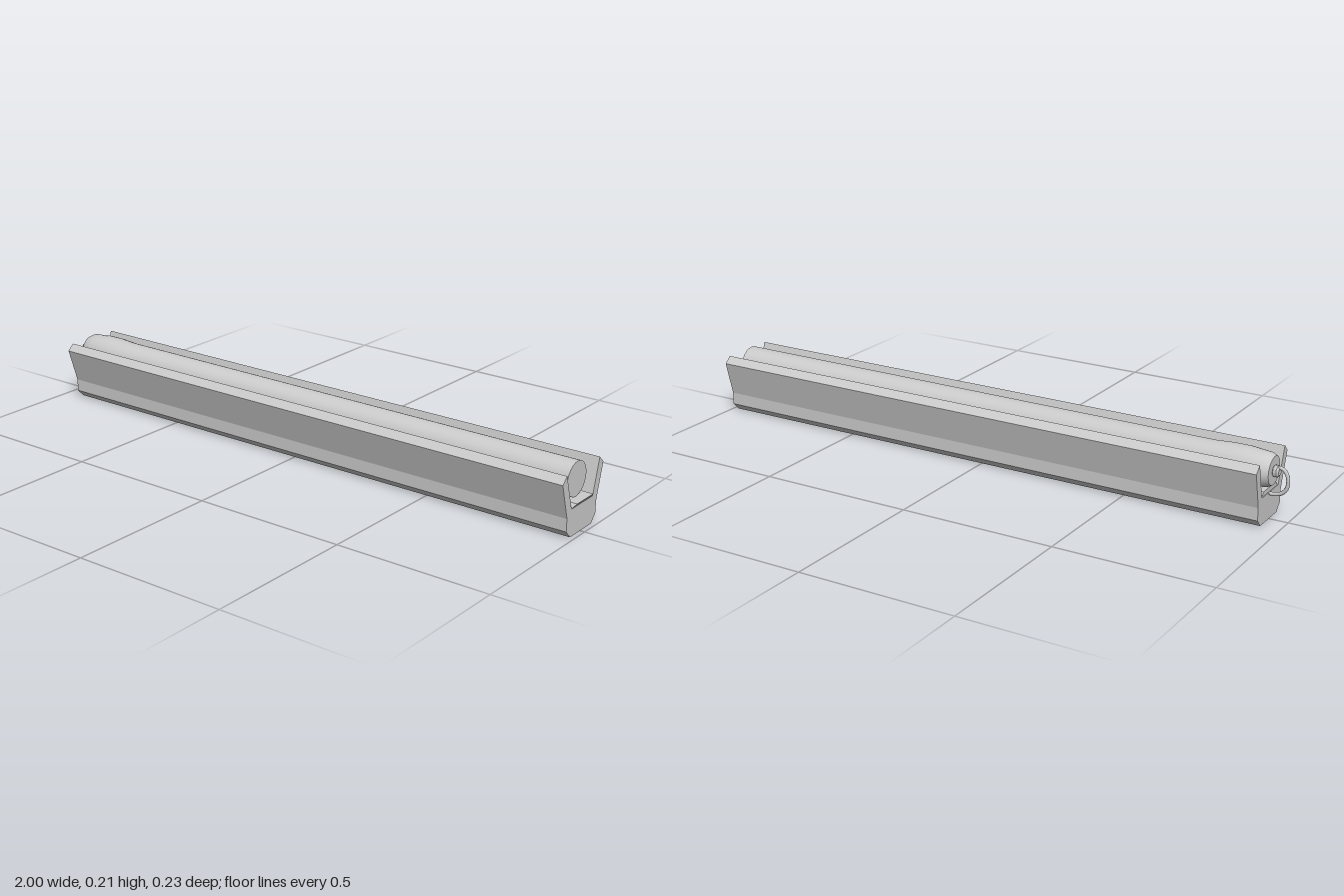
import * as THREE from 'three';
import { toCreasedNormals } from 'three/addons/utils/BufferGeometryUtils.js';

const grey = new THREE.MeshStandardMaterial({ color: 0xcccccc });

// Straight bar along x from a cross-section of [-z, y] corners
function bar(name, section, x0, x1) {
  const shape = new THREE.Shape(section.map(([u, y]) => new THREE.Vector2(u, y)));
  const geo = new THREE.ExtrudeGeometry(shape, { depth: x1 - x0, bevelEnabled: false });
  geo.rotateY(Math.PI / 2).translate(x0, 0, 0);
  const mesh = new THREE.Mesh(geo, grey);
  mesh.name = name;
  return mesh;
}

// Turned part along x from a profile of [radius, x]
function turned(name, profile, sides) {
  const geo = new THREE.LatheGeometry(profile.map(([r, x]) => new THREE.Vector2(r, x)), sides);
  geo.rotateZ(-Math.PI / 2);
  const mesh = new THREE.Mesh(toCreasedNormals(geo, 0.6), grey);
  mesh.name = name;
  return mesh;
}

// Floor pad with chamfered sides and undercut ends
function floorPad() {
  const geo = new THREE.BoxGeometry(1, 1, 1);
  const p = geo.attributes.position;
  for (let i = 0; i < p.count; i++) {
    const top = p.getY(i) > 0;
    const x = p.getX(i) > 0 ? (top ? 0.995 : 0.983) : -0.938;
    p.setXYZ(i, x, top ? 0.1 : 0.084, Math.sign(p.getZ(i)) * (top ? 0.046 : 0.06) - 0.002);
  }
  geo.computeVertexNormals();
  const mesh = new THREE.Mesh(geo, grey);
  mesh.name = 'floorPad';
  return mesh;
}

export function createModel() {
  const group = new THREE.Group();
  group.name = 'tubeInCradle';

  // Long cradle with chamfered base and splayed walls
  group.add(bar('cradle', [
    [-0.057, 0], [0.063, 0], [0.086, 0.024], [0.086, 0.064], [0.115, 0.176], [0.092, 0.197],
    [0.063, 0.086], [-0.057, 0.086], [-0.093, 0.197], [-0.115, 0.176], [-0.08, 0.064], [-0.08, 0.024],
  ], -0.94, 0.985));
  group.add(floorPad());

  // Tube with a swollen grip, lying very slightly askew
  const tube = new THREE.Group();
  tube.name = 'tubeAssembly';
  tube.position.set(0, 0.154, -0.003);
  tube.rotation.y = -0.003;
  tube.add(turned('tube', [
    [0, -0.95], [0.044, -0.95], [0.052, -0.935], [0.054, -0.91], [0.058, -0.87],
    [0.058, -0.82], [0.054, -0.76], [0.054, 0.965], [0, 0.965],
  ], 24));
  tube.add(turned('endKnob', [
    [0, -0.968], [0.012, -0.968], [0.018, -0.962], [0.018, -0.952], [0.01, -0.945],
  ], 12));

  // Hanging loop at the grip end
  const path = new THREE.CatmullRomCurve3([
    [-0.945, 0.002], [-0.965, 0.012], [-0.982, 0.006], [-0.993, -0.015],
    [-0.992, -0.045], [-0.978, -0.064], [-0.955, -0.072], [-0.94, -0.072],
  ].map(([x, y]) => new THREE.Vector3(x, y, 0)));
  const loop = new THREE.Mesh(new THREE.TubeGeometry(path, 24, 0.006, 8), grey);
  loop.name = 'hangingLoop';
  tube.add(loop);

  group.add(tube);
  return group;
}
